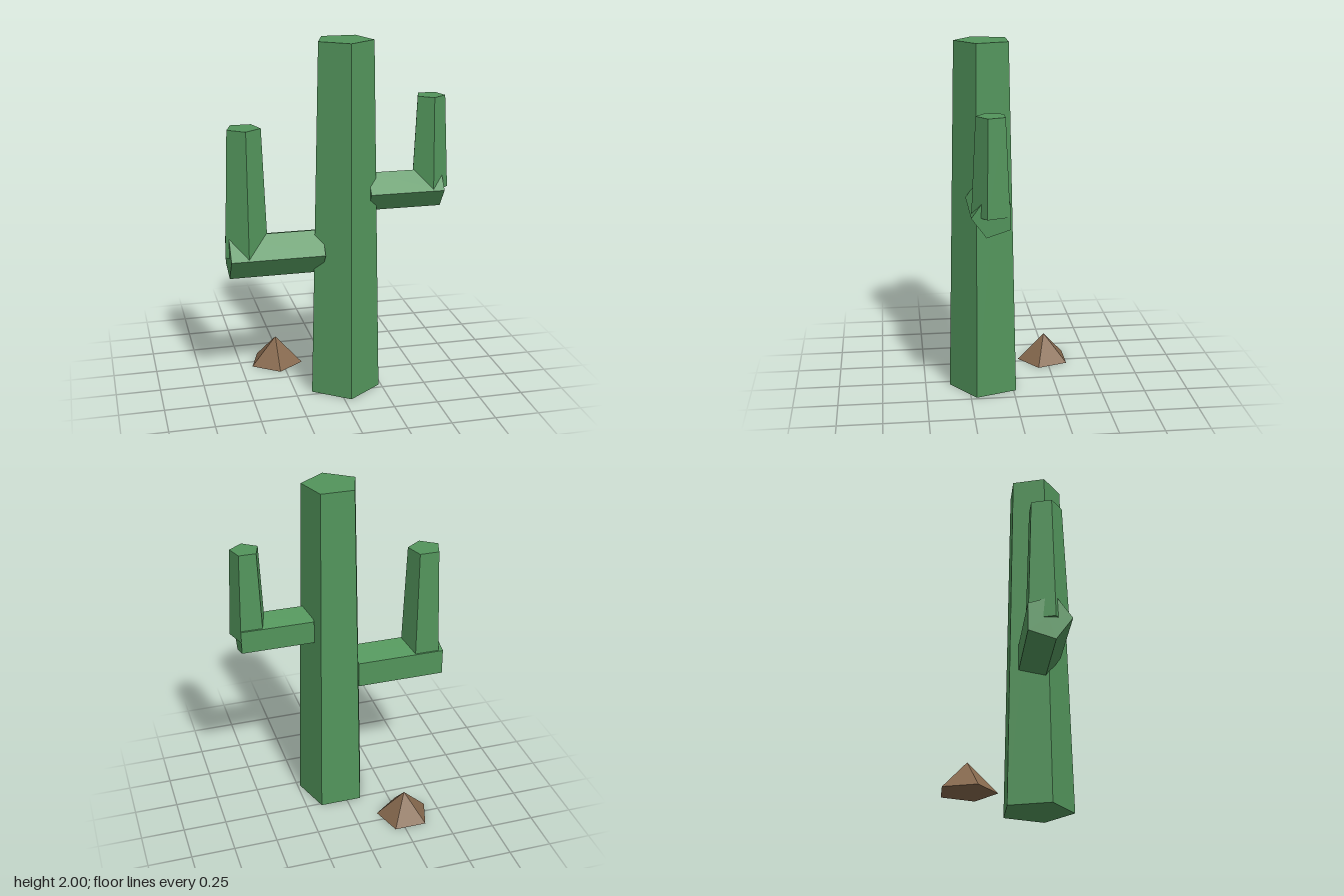
import * as THREE from 'three';

const SIDES = 5;
const CENTRE_Z = 0.153;

export function createModel() {
  const cactusGreen = new THREE.MeshStandardMaterial({ color: 0x52945b, flatShading: true });
  cactusGreen.name = 'cactusGreen';
  const rockBrown = new THREE.MeshStandardMaterial({ color: 0x85684d, flatShading: true });
  rockBrown.name = 'rockBrown';

  const group = new THREE.Group();
  group.name = 'cactus';

  function add(name, geometry, material, x, y, z) {
    const mesh = new THREE.Mesh(geometry, material);
    mesh.name = name;
    mesh.position.set(x, y, z);
    group.add(mesh);
  }

  // Upright tapered five-sided stem, one corner facing the front
  function stem(name, x, y0, y1, rTop, rBottom) {
    const geometry = new THREE.CylinderGeometry(rTop, rBottom, y1 - y0, SIDES);
    add(name, geometry, cactusGreen, x, (y0 + y1) / 2, CENTRE_Z);
  }

  // Straight five-sided branch lying along x
  function branch(name, x0, x1, y, r) {
    const geometry = new THREE.CylinderGeometry(r, r, x1 - x0, SIDES).rotateZ(Math.PI / 2);
    add(name, geometry, cactusGreen, (x0 + x1) / 2, y, CENTRE_Z);
  }

  stem('trunk', 0.039, 0, 2, 0.16, 0.207);

  // Lower arm on the right
  branch('rightBranch', -0.608, -0.091, 0.843, 0.129);
  stem('rightArm', -0.511, 0.843, 1.55, 0.096, 0.124);

  // Upper arm on the left
  branch('leftBranch', 0.168, 0.584, 1.164, 0.113);
  stem('leftArm', 0.522, 1.164, 1.68, 0.082, 0.108);

  // Small pointed rock behind the trunk
  add('rock', new THREE.ConeGeometry(0.158, 0.16, SIDES), rockBrown, -0.285, 0.08, -0.235);

  return group;
}
